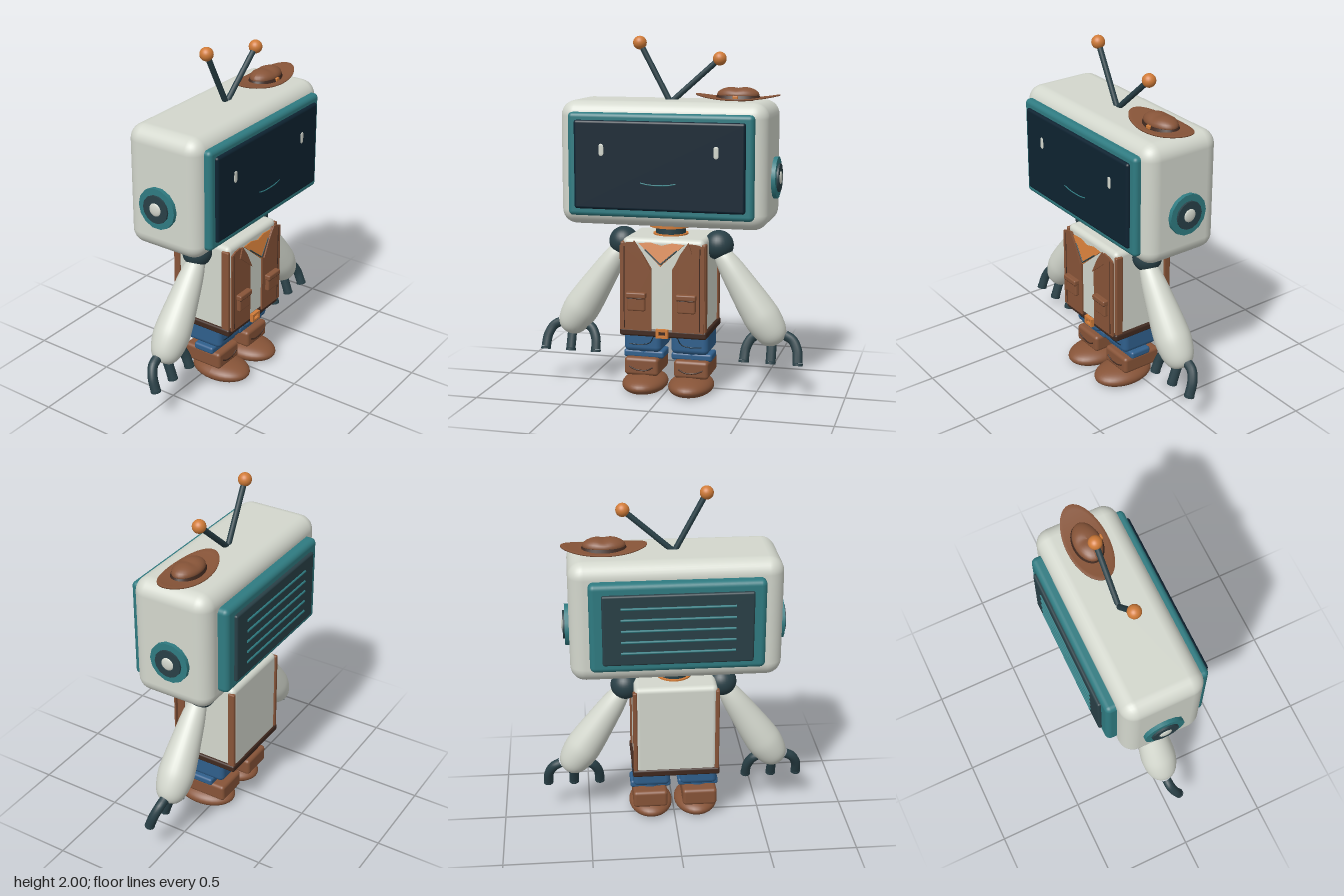
import * as THREE from 'three';
import { RoundedBoxGeometry } from 'three/addons/geometries/RoundedBoxGeometry.js';

const V = (x, y, z) => new THREE.Vector3(x, y, z);
const paint = (name, color) => {
  const m = new THREE.MeshStandardMaterial({ color });
  m.name = name;
  return m;
};

export function createModel() {
  const white = paint('shell white', 0xd3d7cd);
  const teal = paint('teal trim', 0x2f7b81);
  const screen = paint('screen navy', 0x0e2331);
  const dark = paint('dark joint', 0x294047);
  const brown = paint('leather brown', 0x875438);
  const darkBrown = paint('dark leather', 0x40291f);
  const orange = paint('orange accent', 0xd07b38);
  const blue = paint('denim blue', 0x2f5f8c);

  const model = new THREE.Group();
  model.name = 'robot';
  const group = (name, parent = model) => {
    const g = new THREE.Group();
    g.name = name;
    parent.add(g);
    return g;
  };
  const add = (parent, name, geo, mat, x = 0, y = 0, z = 0) => {
    const m = new THREE.Mesh(geo, mat);
    m.name = name;
    m.position.set(x, y, z);
    parent.add(m);
    return m;
  };
  // Rounded box given by its limits on each axis
  const box = (parent, name, mat, [x0, x1], [y0, y1], [z0, z1], r) =>
    add(parent, name, new RoundedBoxGeometry(x1 - x0, y1 - y0, z1 - z0, 4, r), mat,
      (x0 + x1) / 2, (y0 + y1) / 2, (z0 + z1) / 2);
  const tube = (parent, name, mat, pts, r, seg = 16) =>
    add(parent, name, new THREE.TubeGeometry(new THREE.CatmullRomCurve3(pts), seg, r, 10), mat);
  const rod = (parent, name, mat, a, b, r) => {
    const m = add(parent, name, new THREE.CylinderGeometry(r, r, a.distanceTo(b), 14), mat);
    m.position.copy(a).lerp(b, 0.5);
    m.quaternion.setFromUnitVectors(V(0, 1, 0), b.clone().sub(a).normalize());
    return m;
  };
  // Flat plate from an outline, facing +z
  const plate = (parent, name, mat, pts, depth, z) => {
    const shape = new THREE.Shape(pts.map(p => new THREE.Vector2(...p)));
    return add(parent, name, new THREE.ExtrudeGeometry(shape, { depth, bevelEnabled: false }), mat, 0, 0, z);
  };

  // Head with screen
  const head = group('head');
  box(head, 'headShell', white, [-0.585, 0.585], [0.96, 1.65], [-0.222, 0.25], 0.085);
  box(head, 'screenBezel', teal, [-0.52, 0.52], [1.02, 1.59], [0.2, 0.286], 0.025);
  box(head, 'screen', screen, [-0.478, 0.478], [1.062, 1.55], [0.25, 0.304], 0.015);
  for (const s of [-1, 1]) {
    const eye = add(head, 'eye', new THREE.CapsuleGeometry(0.014, 0.04, 4, 12), white, s * 0.32, 1.39, 0.304);
    eye.scale.z = 0.25;
  }
  const smile = tube(head, 'smile', teal, [V(-0.1, 1.215, 0.303), V(-0.05, 1.206, 0.304),
    V(0.05, 1.206, 0.304), V(0.1, 1.215, 0.303)], 0.0035);
  smile.castShadow = false;

  // Back vent panel
  box(head, 'backFrame', teal, [-0.478, 0.478], [1.05, 1.56], [-0.28, -0.18], 0.03);
  box(head, 'backPanel', dark, [-0.41, 0.41], [1.1, 1.505], [-0.298, -0.25], 0.012);
  for (let i = 0; i < 5; i++) {
    rod(head, 'ventSlat', teal, V(-0.31, 1.43 - i * 0.064, -0.299), V(0.31, 1.43 - i * 0.064, -0.299), 0.007);
  }

  // Ear dials
  for (const s of [-1, 1]) {
    const ear = group('ear', head);
    const disc = (name, mat, r, x) => rod(ear, name, mat, V(s * 0.56, 1.23, 0), V(s * x, 1.23, 0), r);
    disc('earRing', teal, 0.117, 0.608);
    disc('earDisc', dark, 0.08, 0.619);
    const knob = add(ear, 'earKnob', new THREE.SphereGeometry(0.038, 20, 12), white, s * 0.617, 1.23, 0);
    knob.scale.x = 0.3;
  }

  // Antennae
  for (const [x, y] of [[-0.178, 1.962], [0.276, 1.878]]) {
    rod(head, 'antennaRod', dark, V(x > 0 ? 0.006 : -0.006, 1.64, 0.015), V(x, y, 0.015), 0.016);
    add(head, 'antennaBall', new THREE.SphereGeometry(0.038, 24, 16), orange, x, y, 0.015);
  }

  // Small hat with a curled brim and dented crown
  const hat = group('hat');
  hat.position.set(0.38, 1.655, 0.015);
  const brimLine = [];
  for (let i = 0; i <= 8; i++) brimLine.push(new THREE.Vector2(i / 8, 0));
  for (let i = 8; i >= 0; i--) brimLine.push(new THREE.Vector2(i / 8, 0.007));
  const brim = new THREE.LatheGeometry(brimLine, 40);
  const bp = brim.attributes.position;
  for (let i = 0; i < bp.count; i++) bp.setY(i, bp.getY(i) + 0.026 * bp.getX(i) ** 2);
  brim.scale(0.235, 1, 0.117);
  brim.computeVertexNormals();
  add(hat, 'brim', brim, brown);
  const band = add(hat, 'hatBand', new THREE.CylinderGeometry(0.118, 0.128, 0.02, 32), darkBrown, 0, 0.015, 0);
  band.scale.z = 0.64;
  const crown = new THREE.SphereGeometry(1, 32, 16);
  const cp = crown.attributes.position;
  for (let i = 0; i < cp.count; i++) {
    if (cp.getY(i) > 0) cp.setY(i, cp.getY(i) * (1 - 0.2 * Math.exp(-((cp.getX(i) / 0.25) ** 2))));
  }
  crown.scale(0.118, 0.046, 0.074);
  crown.computeVertexNormals();
  add(hat, 'crown', crown, brown, 0, 0.028, 0);
  box(hat, 'hatBuckle', orange, [-0.014, 0.014], [0.008, 0.026], [0.07, 0.086], 0.003);

  // Neck
  const neck = group('neck');
  for (const [name, mat, r, y, h] of [['neckRod', dark, 0.085, 0.92, 0.1],
    ['neckTopRing', orange, 0.12, 0.95, 0.025], ['neckBottomRing', orange, 0.1, 0.893, 0.015]]) {
    add(neck, name, new THREE.CylinderGeometry(r, r, h, 32), mat, 0, y, 0.015);
  }

  // Torso and vest
  const torso = group('torso');
  box(torso, 'torsoShell', white, [-0.235, 0.235], [0.345, 0.893], [-0.172, 0.2], 0.03);
  box(torso, 'belt', darkBrown, [-0.25, 0.25], [0.335, 0.378], [-0.18, 0.21], 0.012);
  for (const s of [-1, 1]) {
    const mirror = pts => pts.map(([x, y]) => [s * x, y]);
    plate(torso, 'vestFront', brown, mirror([[0.06, 0.375], [0.24, 0.375], [0.24, 0.855], [0.205, 0.87],
      [0.155, 0.875], [0.11, 0.81], [0.06, 0.73]]), 0.01, 0.217);
    for (const [z0, z1] of [[0.155, 0.203], [-0.177, -0.135]]) {
      box(torso, 'vestSideEdge', brown, [s * 0.233 - 0.012, s * 0.233 + 0.012], [0.37, 0.87], [z0, z1], 0.008);
    }
    rod(torso, 'vestSeam', darkBrown, V(s * 0.216, 0.385, 0.226), V(s * 0.216, 0.85, 0.226), 0.003);
    const lapel = plate(torso, 'lapel', brown, mirror([[0.06, 0.72], [0.175, 0.82], [0.155, 0.885], [0.11, 0.82]]), 0.008, 0.231);
    lapel.material = brown;
    box(torso, 'pocket', brown, [s * 0.143 - 0.052, s * 0.143 + 0.052], [0.488, 0.585], [0.22, 0.25], 0.01);
    box(torso, 'pocketFlap', brown, [s * 0.143 - 0.057, s * 0.143 + 0.057], [0.562, 0.594], [0.222, 0.26], 0.008);
    rod(torso, 'pocketSeam', darkBrown, V(s * 0.143 - 0.05, 0.56, 0.251), V(s * 0.143 + 0.05, 0.56, 0.251), 0.003);
  }

  // Neckerchief, tilted forward at its tip
  const scarf = group('neckerchief', torso);
  scarf.position.set(0, 0.87, 0.225);
  scarf.rotation.x = -0.24;
  plate(scarf, 'scarfCloth', orange, [[-0.13, 0], [-0.06, 0.005], [0, -0.01], [0.06, 0.005], [0.13, 0], [0, -0.125]], 0.008, 0);
  for (const s of [-1, 1]) {
    rod(scarf, 'scarfHem', dark, V(s * 0.09, -0.035, 0.008), V(0, -0.115, 0.008), 0.004);
  }

  // Belt buckle
  const frame = new THREE.Shape([[-0.035, -0.025], [0.035, -0.025], [0.035, 0.025], [-0.035, 0.025]].map(p => new THREE.Vector2(...p)));
  frame.holes.push(new THREE.Path([[-0.02, -0.012], [-0.02, 0.012], [0.02, 0.012], [0.02, -0.012]].map(p => new THREE.Vector2(...p))));
  add(torso, 'beltBuckle', new THREE.ExtrudeGeometry(frame, { depth: 0.022, bevelEnabled: false }), orange, 0, 0.36, 0.208);

  // Arms and three-fingered hands
  const armProfile = new THREE.SplineCurve([[0, 0], [0.05, 0.012], [0.085, 0.06], [0.103, 0.15], [0.1, 0.24], [0.085, 0.38],
    [0.067, 0.52], [0.045, 0.6], [0, 0.627]].map(p => new THREE.Vector2(...p))).getPoints(40);
  armProfile.forEach(p => { p.x = Math.max(0, p.x); });
  for (const s of [-1, 1]) {
    const arm = group(s > 0 ? 'leftArm' : 'rightArm');
    add(arm, 'shoulder', new THREE.SphereGeometry(0.084, 28, 20), dark, s * 0.277, 0.84, 0.015);
    const sleeve = add(arm, 'armShell', new THREE.LatheGeometry(armProfile, 32), white, s * 0.625, 0.295, 0.025);
    sleeve.quaternion.setFromUnitVectors(V(0, 1, 0), V(s * -0.345, 0.525, 0).normalize());
    for (const d of [-1, 0, 1]) {
      const x = 0.588 + d * 0.152;
      const end = V(s * x, 0.2, 0.068);
      tube(arm, 'finger', dark, [V(s * (0.59 + d * 0.07), 0.345, 0.02), V(s * (0.588 + d * 0.115), 0.32, 0.025),
        V(s * (0.588 + d * 0.145), 0.265, 0.045), end], 0.028);
      rod(arm, 'fingertip', dark, end, V(s * x, 0.187, 0.071), 0.029);
    }
  }

  // Legs and boots
  for (const s of [-1, 1]) {
    const leg = group(s > 0 ? 'leftLeg' : 'rightLeg');
    const span = (c, w) => [s * c - w, s * c + w];
    box(leg, 'jeans', blue, span(0.137, 0.108), [0.225, 0.37], [-0.1, 0.143], 0.03);
    add(leg, 'shin', new THREE.CylinderGeometry(0.07, 0.07, 0.12, 24), blue, s * 0.14, 0.2, 0.03);
    box(leg, 'jeansCuff', blue, span(0.14, 0.118), [0.18, 0.224], [-0.03, 0.1], 0.014);
    tube(leg, 'jeansStitch', screen, [V(s * 0.07, 0.32, 0.143), V(s * 0.09, 0.285, 0.144),
      V(s * 0.14, 0.27, 0.144), V(s * 0.21, 0.272, 0.143)], 0.003);
    box(leg, 'bootShaft', brown, span(0.145, 0.1), [0.085, 0.188], [-0.105, 0.14], 0.02);
    tube(leg, 'bootStitch', darkBrown, [V(s * 0.075, 0.138, 0.141), V(s * 0.11, 0.12, 0.142),
      V(s * 0.17, 0.12, 0.142), V(s * 0.215, 0.138, 0.141)], 0.004);
    // Rounded shoe with a flat sole
    const shoe = new THREE.SphereGeometry(1, 32, 24);
    const p = shoe.attributes.position;
    for (let i = 0; i < p.count; i++) {
      const y = p.getY(i);
      p.setY(i, y > 0 ? y * 0.06 : Math.max(y, -0.6) * 0.058);
    }
    shoe.scale(0.128, 1, 0.183);
    shoe.computeVertexNormals();
    add(leg, 'shoe', shoe, brown, s * 0.135, 0.035, 0.078);
  }
  return model;
}
